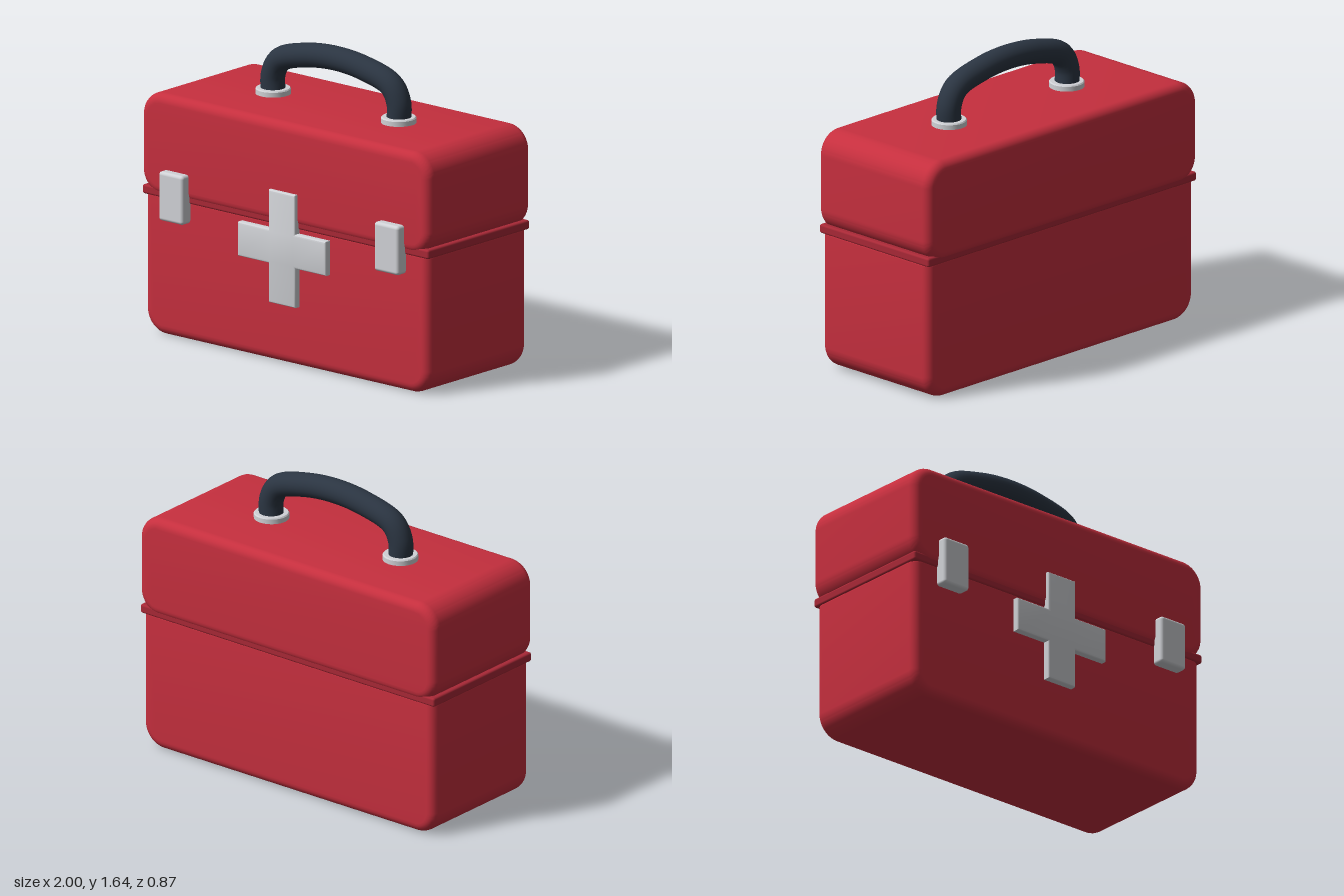
import * as THREE from 'three';
import { toCreasedNormals } from 'three/addons/utils/BufferGeometryUtils.js';
import { RoundedBoxGeometry } from 'three/addons/geometries/RoundedBoxGeometry.js';

const MID_Z = -0.025; // middle of the case, front to back

// Rectangle outline with separate radii for the bottom and top corners
function roundedRect(halfW, y0, y1, rBottom, rTop) {
  const s = new THREE.Shape();
  const q = Math.PI / 2;
  s.absarc(halfW - rBottom, y0 + rBottom, rBottom, -q, 0);
  s.absarc(halfW - rTop, y1 - rTop, rTop, 0, q);
  s.absarc(-halfW + rTop, y1 - rTop, rTop, q, 2 * q);
  s.absarc(-halfW + rBottom, y0 + rBottom, rBottom, 2 * q, 3 * q);
  s.closePath();
  return s;
}

// Extrusion between two z values with soft edges inside the outline
function softExtrude(shape, z0, z1, bevel) {
  const g = new THREE.ExtrudeGeometry(shape, {
    depth: z1 - z0 - 2 * bevel, curveSegments: 12, bevelEnabled: true,
    bevelThickness: bevel, bevelSize: bevel, bevelOffset: -bevel, bevelSegments: 6,
  });
  g.translate(0, 0, z0 + bevel);
  return toCreasedNormals(g, 0.6);
}

export function createModel() {
  const group = new THREE.Group();
  const material = (name, color) => {
    const m = new THREE.MeshStandardMaterial({ color });
    m.name = name;
    return m;
  };
  const red = material('case red', 0xc62f3e);
  const darkRed = material('seam red', 0xa82836);
  const grey = material('light grey', 0xd0d2d6);
  const dark = material('handle slate', 0x2b3542);

  const add = (name, geometry, mat, x = 0, y = 0, z = 0) => {
    const mesh = new THREE.Mesh(geometry, mat);
    mesh.name = name;
    mesh.position.set(x, y, z);
    group.add(mesh);
    return mesh;
  };

  // Case: lower body, lid and the seam band between them
  add('body', softExtrude(roundedRect(0.985, 0, 0.79, 0.13, 0.055), -0.42, 0.37, 0.05), red);
  add('lid', softExtrude(roundedRect(1, 0.755, 1.305, 0.13, 0.13), -0.435, 0.385, 0.05), red);
  add('seamBand', new RoundedBoxGeometry(1.984, 0.05, 0.804, 3, 0.012), darkRed, 0, 0.77, MID_Z);

  // Cross on the front
  const w = 0.0925, h = 0.305;
  const cross = new THREE.Shape([
    [-w, -h], [w, -h], [w, -w], [h, -w], [h, w], [w, w],
    [w, h], [-w, h], [-w, w], [-h, w], [-h, -w], [-w, -w],
  ].map(([x, y]) => new THREE.Vector2(x, y)));
  add('cross', softExtrude(cross, 0.35, 0.408, 0.012), grey, 0, 0.63, 0);

  // Latches and handle collars, mirrored
  for (const side of [-1, 1]) {
    const label = side > 0 ? 'left' : 'right';
    add(label + 'Latch', new RoundedBoxGeometry(0.17, 0.265, 0.075, 4, 0.018), grey,
      side * 0.747, 0.772, 0.3975);
    const collar = [[0, 0], [0.093, 0], [0.093, 0.034], [0.088, 0.04], [0, 0.04]]
      .map(([x, y]) => new THREE.Vector2(x, y));
    add(label + 'Collar', toCreasedNormals(new THREE.LatheGeometry(collar, 40), 0.5), grey,
      side * 0.435, 1.297, MID_Z);
  }

  // Arched carrying handle
  const half = [[0.435, 1.3], [0.435, 1.41], [0.385, 1.495], [0.2, 1.553]];
  const points = [
    ...half.map(([x, y]) => new THREE.Vector3(-x, y, 0)),
    new THREE.Vector3(0, 1.572, 0),
    ...half.slice().reverse().map(([x, y]) => new THREE.Vector3(x, y, 0)),
  ];
  const path = new THREE.CatmullRomCurve3(points);
  add('handle', new THREE.TubeGeometry(path, 72, 0.065, 24), dark, 0, 0, MID_Z);

  return group;
}
